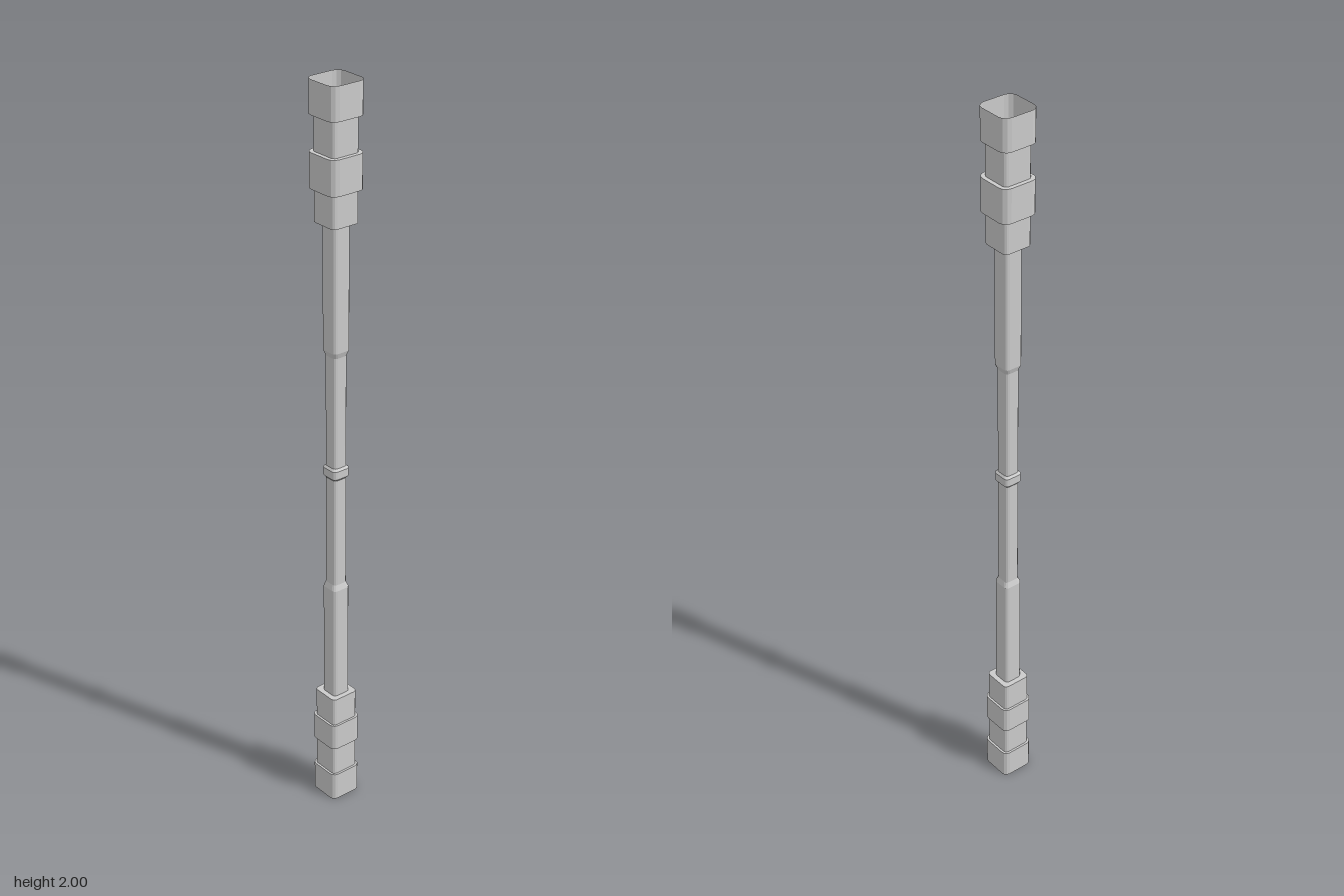
import * as THREE from 'three';

const material = new THREE.MeshStandardMaterial({ color: 0xcccccc, flatShading: true, side: THREE.DoubleSide });

const CORNER_STEPS = 3;

// Rounded-square outline at height y, from half width h and corner radius r
function outline([y, h, r]) {
  const points = [];
  for (let corner = 0; corner < 4; corner++) {
    const start = corner * Math.PI / 2;
    const sx = corner === 0 || corner === 3 ? 1 : -1;
    const sz = corner < 2 ? 1 : -1;
    for (let i = 0; i <= CORNER_STEPS; i++) {
      const a = start + (i / CORNER_STEPS) * Math.PI / 2;
      points.push([sx * (h - r) + r * Math.cos(a), y, sz * (h - r) + r * Math.sin(a)]);
    }
  }
  return points;
}

// Open shell through a list of outlines, ordered from bottom to top
function shell(name, sections) {
  const rings = sections.map(outline);
  const n = rings[0].length;
  const index = [];
  for (let s = 0; s < rings.length - 1; s++) {
    for (let i = 0; i < n; i++) {
      const a = s * n + i, b = s * n + (i + 1) % n;
      index.push(a, a + n, b, b, a + n, b + n);
    }
  }
  const geometry = new THREE.BufferGeometry();
  geometry.setAttribute('position', new THREE.Float32BufferAttribute(rings.flat(2), 3));
  geometry.setIndex(index);
  geometry.computeVertexNormals();
  const mesh = new THREE.Mesh(geometry, material);
  mesh.name = name;
  return mesh;
}

export function createModel() {
  const group = new THREE.Group();
  group.name = 'staff';

  // Half width and corner radius of each kind of section
  const thin = [0.021, 0.01];
  const shaft = [0.026, 0.011];
  const neck = [0.04, 0.011];
  const foot = [0.046, 0.016];
  const head = [0.051, 0.021];

  group.add(
    // Lower grip: hollow end block, neck, band and collar
    shell('lowerEnd', [[0, ...foot], [0.08, ...foot], [0.08, ...neck]]),
    shell('lowerNeck', [[0.08, ...neck], [0.165, ...neck]]),
    shell('lowerBand', [[0.165, ...neck], [0.165, ...foot], [0.24, ...foot], [0.24, ...neck]]),
    shell('lowerCollar', [[0.24, ...neck], [0.32, ...neck], [0.32, ...shaft]]),

    // Shaft, narrowing towards the middle ring
    shell('lowerShaft', [[0.32, ...shaft], [0.645, ...shaft], [0.66, ...thin]]),
    shell('lowerRod', [[0.66, ...thin], [0.967, ...thin]]),
    shell('middleRing', [[0.967, ...thin], [0.973, ...shaft], [0.995, ...shaft], [1.001, ...thin]]),
    shell('upperRod', [[1.001, ...thin], [1.305, ...thin]]),
    shell('upperShaft', [[1.305, ...thin], [1.32, ...shaft], [1.65, ...shaft]]),

    // Upper grip, ending in a hollow block
    shell('upperCollar', [[1.65, ...shaft], [1.65, ...neck], [1.735, ...neck]]),
    shell('upperBand', [[1.735, ...neck], [1.735, ...head], [1.825, ...head], [1.825, ...neck]]),
    shell('upperNeck', [[1.825, ...neck], [1.915, ...neck]]),
    shell('upperEnd', [[1.915, ...neck], [1.915, ...head], [2, ...head]])
  );
  return group;
}
